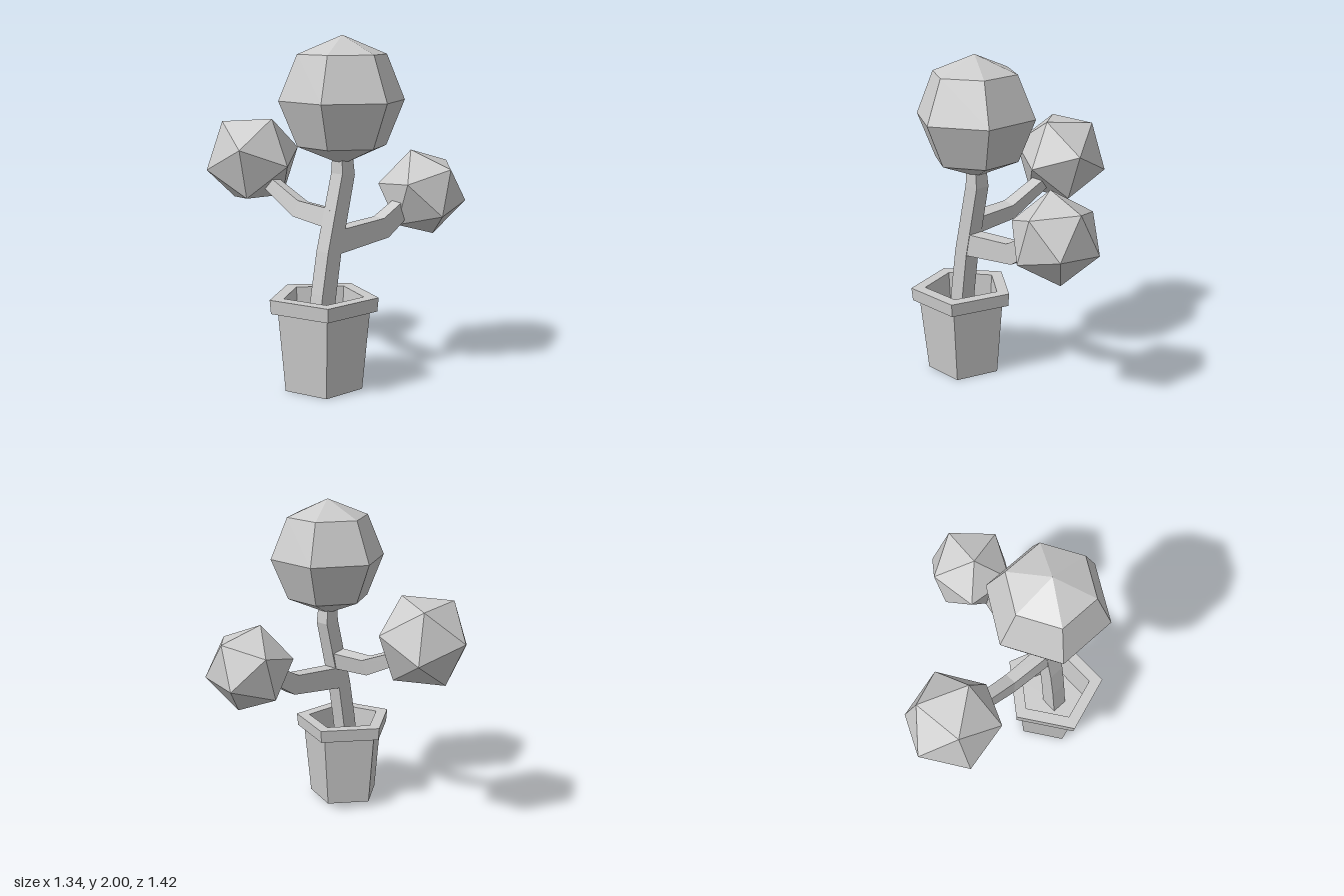
import * as THREE from 'three';

const material = new THREE.MeshStandardMaterial({ color: 0xcccccc, flatShading: true });
const vec = (a) => new THREE.Vector3(...a);

function addMesh(group, name, geometry) {
  const mesh = new THREE.Mesh(geometry, material);
  mesh.name = name;
  group.add(mesh);
  return mesh;
}

// Four-sided limb swept along mitred points; each step is [x, y, z, width, depth]
function limbGeometry(steps, sideAxis) {
  const points = steps.map((s) => vec(s.slice(0, 3)));
  const positions = [];
  const index = [];
  points.forEach((p, i) => {
    const tangent = new THREE.Vector3();
    if (i > 0) tangent.add(p.clone().sub(points[i - 1]).normalize());
    if (i < points.length - 1) tangent.add(points[i + 1].clone().sub(p).normalize());
    tangent.normalize();
    const up = tangent.clone().cross(sideAxis).normalize();
    const side = up.clone().cross(tangent);
    const [width, depth] = steps[i].slice(3);
    for (const [a, b] of [[1, 1], [-1, 1], [-1, -1], [1, -1]]) {
      const corner = p.clone().addScaledVector(side, a * width / 2).addScaledVector(up, b * depth / 2);
      positions.push(corner.x, corner.y, corner.z);
    }
    if (i === 0) return;
    for (let k = 0; k < 4; k++) {
      const a = (i - 1) * 4 + k;
      const b = (i - 1) * 4 + (k + 1) % 4;
      index.push(a, b, b + 4, a, b + 4, a + 4);
    }
  });
  const end = (points.length - 1) * 4;
  index.push(0, 2, 1, 0, 3, 2, end, end + 1, end + 2, end, end + 2, end + 3);
  const geometry = new THREE.BufferGeometry();
  geometry.setAttribute('position', new THREE.Float32BufferAttribute(positions, 3));
  geometry.setIndex(index);
  geometry.computeVertexNormals();
  return geometry;
}

// Icosahedron turned so that one of its edges runs between directions a and b
function addFoliage(group, name, radius, centre, a, b) {
  const mesh = addMesh(group, name, new THREE.IcosahedronGeometry(radius, 0));
  const from = vec(a).normalize();
  const to = vec(b).normalize();
  const y = from.clone().add(to).normalize();
  const x = to.clone().sub(from).normalize();
  mesh.quaternion.setFromRotationMatrix(new THREE.Matrix4().makeBasis(x, y, x.clone().cross(y)));
  mesh.position.set(...centre);
}

export function createModel() {
  const tree = new THREE.Group();
  tree.name = 'pottedTree';

  // Five-sided hollow pot with an overhanging rim
  const profile = [
    [0, 0], [0.23, 0], [0.273, 0.46], [0.315, 0.46],
    [0.322, 0.54], [0.237, 0.54], [0.215, 0.28], [0, 0.28],
  ].map(([r, y]) => new THREE.Vector2(r, y));
  const pot = addMesh(tree, 'pot', new THREE.LatheGeometry(profile, 5, Math.PI));
  pot.position.set(-0.365, 0, 0.345);

  // Trunk and the two bent branches
  const zAxis = new THREE.Vector3(0, 0, 1);
  addMesh(tree, 'trunk', limbGeometry([
    [-0.4, 0.27, 0.348, 0.1, 0.105],
    [-0.362, 0.54, 0.348, 0.1, 0.103],
    [-0.322, 0.78, 0.348, 0.1, 0.1],
    [-0.216, 1.22, 0.348, 0.095, 0.096],
    [-0.22, 1.33, 0.348, 0.085, 0.08],
  ], zAxis));
  addMesh(tree, 'leftBranch', limbGeometry([
    [-0.3, 0.838, 0.345, 0.1, 0.138],
    [0.092, 0.875, 0.345, 0.09, 0.125],
    [0.32, 1.01, 0.345, 0.08, 0.1],
  ], zAxis));
  addMesh(tree, 'backBranch', limbGeometry([
    [-0.28, 0.965, 0.345, 0.09, 0.11],
    [-0.272, 0.983, 0.035, 0.08, 0.1],
    [-0.268, 1.14, -0.32, 0.07, 0.075],
  ], new THREE.Vector3(1, -0.2, 0).normalize()));

  // Foliage: a six-sided ball on the trunk and a faceted ball on each branch
  const crown = addMesh(tree, 'topFoliage', new THREE.SphereGeometry(0.363, 6, 4));
  crown.position.set(-0.22, 1.637, 0.345);
  crown.rotation.y = Math.PI / 6;
  addFoliage(tree, 'leftFoliage', 0.271, [0.43, 1.05, 0.347], [-0.07, 0.26, -0.03], [0.2025, 0.18, 0.0075]);
  addFoliage(tree, 'backFoliage', 0.297, [-0.272, 1.24, -0.421], [0.03, 0.25, 0.1525], [0.15, 0.22, -0.1325]);

  return tree;
}
